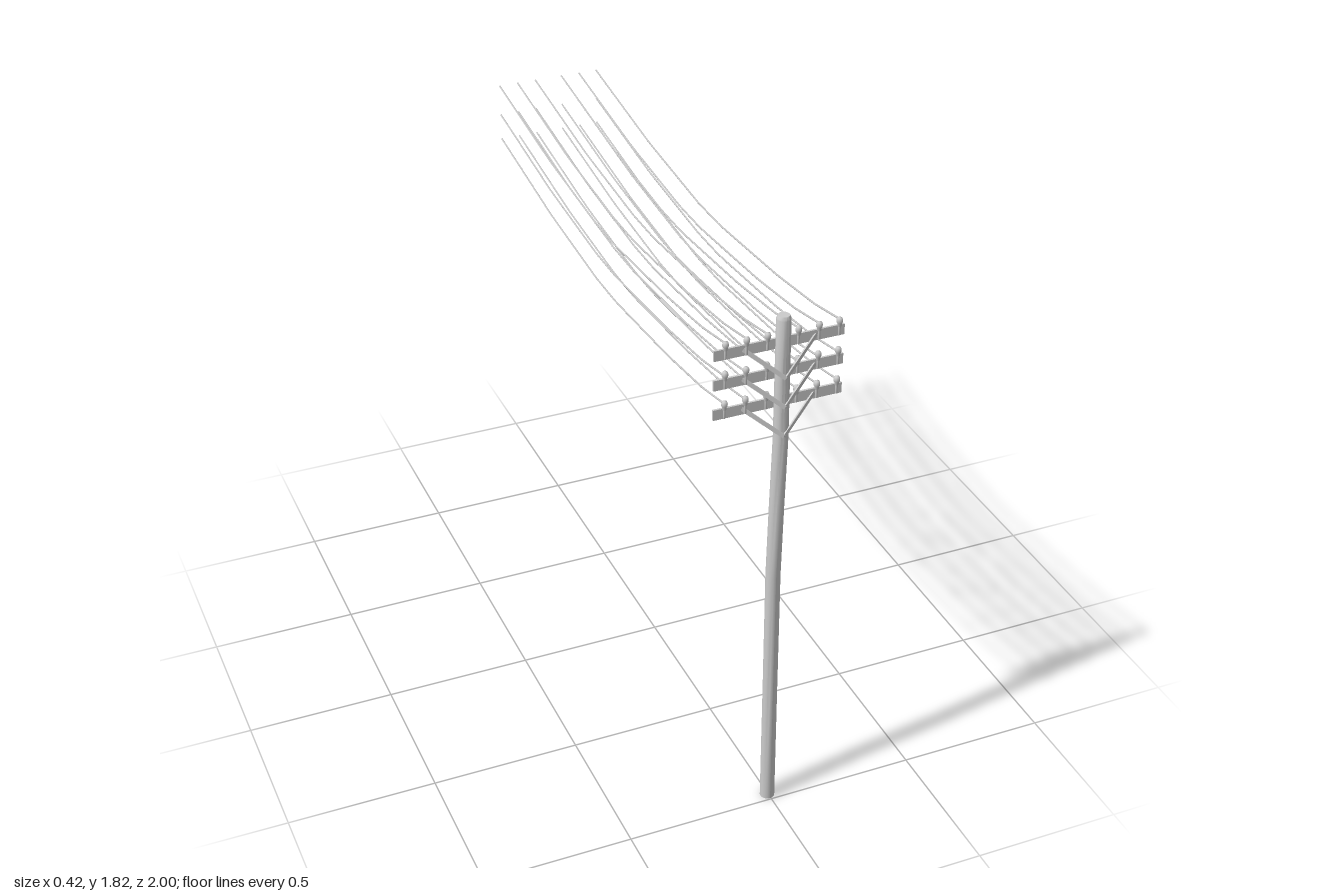
import * as THREE from 'three';
import { toCreasedNormals } from 'three/addons/utils/BufferGeometryUtils.js';

const material = new THREE.MeshStandardMaterial({ color: 0xcccccc });

function addMesh(parent, name, geometry) {
  const mesh = new THREE.Mesh(geometry, material);
  mesh.name = name;
  parent.add(mesh);
  return mesh;
}

// Flat bar running between two points
function addBar(parent, name, a, b, width, depth) {
  const bar = addMesh(parent, name, new THREE.BoxGeometry(width, depth, a.distanceTo(b)));
  bar.position.copy(a).add(b).multiplyScalar(0.5);
  bar.lookAt(b);
}

// Slightly crooked round pole: rings following a wavering centre line
function poleGeometry() {
  const rings = [ // y, centre x, centre z, radius
    [0, -0.003, 0.972, 0.024], [0.45, -0.003, 0.966, 0.0235], [0.9, -0.009, 0.972, 0.0235],
    [1.15, -0.003, 0.968, 0.0235], [1.4, 0.002, 0.969, 0.0235], [1.6, 0, 0.97, 0.023],
    [1.81, -0.002, 0.971, 0.0225], [1.82, -0.002, 0.971, 0.018],
  ];
  const sides = 16, positions = [], index = [];
  for (const [y, x, z, r] of rings) {
    for (let i = 0; i < sides; i++) {
      const t = (i / sides) * Math.PI * 2;
      positions.push(x + r * Math.sin(t), y, z + r * Math.cos(t));
    }
  }
  for (let k = 0; k < rings.length - 1; k++) {
    for (let i = 0; i < sides; i++) {
      const j = (i + 1) % sides, a = k * sides, b = a + sides;
      index.push(a + i, a + j, b + j, a + i, b + j, b + i);
    }
  }
  // End caps
  const top = (rings.length - 1) * sides;
  for (let i = 1; i < sides - 1; i++) {
    index.push(0, i + 1, i, top, top + i, top + i + 1);
  }
  const geometry = new THREE.BufferGeometry();
  geometry.setAttribute('position', new THREE.Float32BufferAttribute(positions, 3));
  geometry.setIndex(index);
  return toCreasedNormals(geometry, 0.5);
}

export function createModel() {
  const model = new THREE.Group();
  model.name = 'utilityPole';
  addMesh(model, 'pole', poleGeometry());

  // Pin insulator: thin stem carrying a bulbous head
  const insulatorGeometry = new THREE.LatheGeometry([
    [0, -0.01], [0.004, -0.01], [0.004, 0.017], [0.0065, 0.02], [0.0065, 0.027],
    [0.0095, 0.032], [0.01, 0.04], [0.0075, 0.047], [0, 0.05],
  ].map(([r, y]) => new THREE.Vector2(r, y)), 10);

  // Sagging wire, measured from its fixing point
  const sag = [[0.952, 0], [0.79, -0.034], [0.53, -0.067], [0.1, -0.101],
    [-0.08, -0.101], [-0.5, -0.068], [-1, 0]];
  const wirePath = new THREE.CatmullRomCurve3(
    sag.map(([z, y]) => new THREE.Vector3(0, y, z)), false, 'catmullrom', 0.05);
  const wireGeometry = new THREE.TubeGeometry(wirePath, 36, 0.003, 6);

  const pinX = [-0.178, -0.111, -0.044, 0.055, 0.122, 0.188];
  const tiers = [[1.713, 1.755], [1.613, 1.644], [1.512, 1.55]]; // arm height, wire height
  for (const [armY, wireY] of tiers) {
    const tier = new THREE.Group();
    tier.name = 'crossarmTier';
    model.add(tier);

    const arm = addMesh(tier, 'crossarm', new THREE.BoxGeometry(0.42, 0.035, 0.007));
    arm.position.set(0, armY, 0.944);

    // Braces from the arm round to the front of the pole
    for (const side of [-1, 1]) {
      addBar(tier, side > 0 ? 'leftBrace' : 'rightBrace',
        new THREE.Vector3(side * 0.118, armY + 0.003, 0.946),
        new THREE.Vector3(0, armY - 0.094, 0.996), 0.005, 0.013);
    }

    for (const x of pinX) {
      const insulator = addMesh(tier, 'insulator', insulatorGeometry);
      insulator.position.set(x, armY, 0.956);
      const wire = addMesh(tier, 'wire', wireGeometry);
      wire.position.set(x, wireY, 0);
    }
  }
  return model;
}
